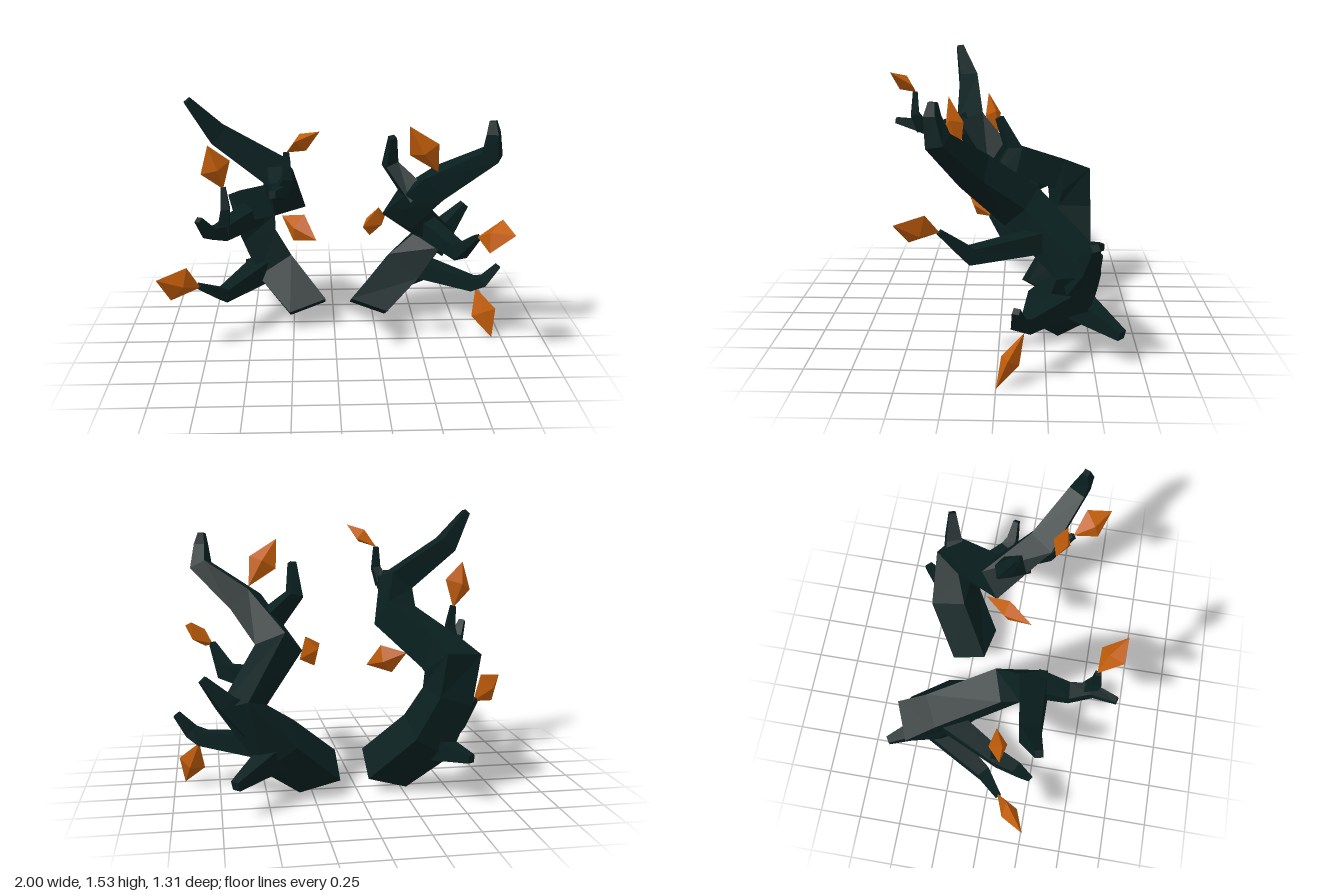
import * as THREE from 'three';

const bark = new THREE.MeshStandardMaterial({ color: 0x0a1f1f });
bark.name = 'darkBark';
const amber = new THREE.MeshStandardMaterial({ color: 0xc05c0a });
amber.name = 'amberLeaf';

const V = (p) => new THREE.Vector3(p[0], p[1], p[2]);

// Faceted mesh from a list of triangle corner points
function facetedMesh(name, corners, material) {
  const geometry = new THREE.BufferGeometry().setFromPoints(corners);
  geometry.computeVertexNormals();
  const mesh = new THREE.Mesh(geometry, material);
  mesh.name = name;
  return mesh;
}

// Tapered four-sided limb through points [x, y, z, radius], capped at both ends;
// start is the direction the first cap is cut across, roll sets the flat faces
function limb(name, path, start = null, roll = [0, 1, 0]) {
  const sides = 4;
  const centers = path.map(V);
  const last = path.length - 1;
  const dir = (i) => centers[i + 1].clone().sub(centers[i]).normalize();
  let normal = V(roll);
  const rings = path.map((p, i) => {
    const t = new THREE.Vector3();
    if (i === 0 && start) t.copy(V(start));
    else {
      if (i > 0) t.add(dir(i - 1));
      if (i < last) t.add(dir(i));
    }
    t.normalize();
    normal = normal.clone().addScaledVector(t, -normal.dot(t)).normalize();
    const side = t.clone().cross(normal);
    return Array.from({ length: sides }, (_, j) => {
      const a = (j + 0.5) / sides * Math.PI * 2;
      return centers[i].clone()
        .addScaledVector(normal, p[3] * Math.cos(a))
        .addScaledVector(side, p[3] * Math.sin(a));
    });
  });
  const tris = [];
  for (let j = 0; j < sides; j++) {
    const k = (j + 1) % sides;
    for (let i = 0; i < last; i++) {
      const a = rings[i][j], b = rings[i][k], c = rings[i + 1][k], d = rings[i + 1][j];
      tris.push(a, b, c, a, c, d);
    }
    tris.push(centers[0], rings[0][k], rings[0][j]);
    tris.push(centers[last], rings[last][j], rings[last][k]);
  }
  return facetedMesh(name, tris, bark);
}

// Flattened four-sided crystal leaf; wide is its half-width vector
function leaf(tail, tip, wide, thick = 0.05) {
  const a = V(tail), b = V(tip), w = V(wide);
  const mid = a.clone().add(b).multiplyScalar(0.5);
  const v = b.clone().sub(a).cross(w).normalize().multiplyScalar(thick);
  const ring = [[w, 1], [v, 1], [w, -1], [v, -1]].map(([d, s]) => mid.clone().addScaledVector(d, s));
  const tris = [];
  for (let j = 0; j < 4; j++) {
    const k = (j + 1) % 4;
    tris.push(ring[j], ring[k], b, ring[k], ring[j], a);
  }
  return facetedMesh('leaf', tris, amber);
}

export function createModel() {
  const model = new THREE.Group();
  model.name = 'branchPair';

  // Branch on the -x side
  const right = new THREE.Group();
  right.name = 'rightBranch';
  right.add(
    limb('trunk', [[-0.163, 0.108, -0.243, 0.165], [-0.37, 0.33, -0.4, 0.17], [-0.475, 0.55, -0.42, 0.145],
      [-0.505, 0.73, -0.41, 0.16], [-0.46, 0.775, -0.31, 0.135], [-0.285, 0.93, 0.06, 0.13],
      [-0.32, 1.11, 0.2, 0.11], [-0.63, 1.33, 0.225, 0.075], [-0.77, 1.52, 0.285, 0.028]],
    [-0.34, 0.82, -0.45], [1, 0, 0]),
    limb('backSpur', [[-0.42, 0.27, -0.42, 0.09], [-0.55, 0.26, -0.64, 0.03]]),
    limb('lowerTwig', [[-0.44, 0.33, -0.36, 0.1], [-0.66, 0.3, -0.02, 0.055], [-0.79, 0.4, 0.085, 0.025]]),
    limb('middleTwig', [[-0.48, 0.73, -0.25, 0.09], [-0.65, 0.72, 0.07, 0.06], [-0.7, 0.76, 0.19, 0.045],
      [-0.75, 0.86, 0.25, 0.024]]),
    limb('middleFork', [[-0.64, 0.71, 0.05, 0.05], [-0.62, 0.86, 0.06, 0.035], [-0.63, 0.98, 0.04, 0.02]],
      null, [1, 0, 0]),
    limb('upperTwig', [[-0.31, 1.12, 0.2, 0.09], [-0.31, 1.06, 0.39, 0.065], [-0.29, 1.1, 0.51, 0.045],
      [-0.33, 1.12, 0.64, 0.024]]),
    limb('upperFork', [[-0.29, 1.08, 0.48, 0.05], [-0.26, 1.17, 0.52, 0.035], [-0.26, 1.3, 0.515, 0.02]],
      null, [1, 0, 0]),
    leaf([-0.78, 0.39, 0.08], [-1, 0.51, 0.26], [0.045, 0.088, -0.025]),
    leaf([-0.63, 0.97, 0.04], [-0.7, 1.235, 0.1], [0.08, 0.033, -0.02], 0.05),
    leaf([-0.31, 0.745, -0.15], [-0.11, 0.65, 0.02], [0.033, 0.08, 0]),
    leaf([-0.26, 1.3, 0.51], [-0.095, 1.435, 0.635], [0.04, -0.015, -0.06], 0.045),
  );

  // Branch on the +x side
  const left = new THREE.Group();
  left.name = 'leftBranch';
  left.add(
    limb('trunk', [[0.213, 0.108, -0.243, 0.165], [0.44, 0.31, -0.4, 0.165], [0.63, 0.53, -0.42, 0.135],
      [0.41, 0.79, -0.12, 0.135], [0.575, 1.02, 0.12, 0.11], [0.825, 1.22, 0.275, 0.07],
      [0.82, 1.34, 0.3, 0.045], [0.815, 1.405, 0.295, 0.025]], [0.34, 0.82, -0.45], [1, 0, 0]),
    limb('elbowSpur', [[0.6, 0.46, -0.41, 0.12], [0.72, 0.57, -0.46, 0.07], [0.83, 0.7, -0.48, 0.03]]),
    limb('backSpur', [[0.45, 0.27, -0.41, 0.1], [0.68, 0.18, -0.64, 0.035]]),
    limb('lowerTwig', [[0.53, 0.32, -0.39, 0.085], [0.84, 0.3, -0.14, 0.055], [0.9, 0.33, -0.11, 0.045],
      [0.98, 0.43, -0.1, 0.024]]),
    limb('middleTwig', [[0.54, 0.65, -0.24, 0.08], [0.7, 0.615, 0.14, 0.06], [0.77, 0.755, 0.28, 0.022]]),
    limb('upperTwig', [[0.47, 0.9, 0, 0.09], [0.315, 1.08, -0.075, 0.055], [0.32, 1.25, 0, 0.026]],
      null, [1, 0, 0]),
    leaf([0.555, 1.1, 0.19], [0.385, 1.37, 0.26], [0.075, 0.035, 0.02], 0.05),
    leaf([0.3, 0.73, -0.17], [0.15, 0.765, 0.125], [0.025, 0.085, 0]),
    leaf([0.77, 0.755, 0.28], [0.93, 0.835, 0.485], [0.04, 0.08, -0.045]),
    leaf([0.86, 0.27, -0.14], [0.945, 0.005, 0], [0.07, 0.028, 0.01], 0.05),
  );

  model.add(right, left);
  return model;
}
